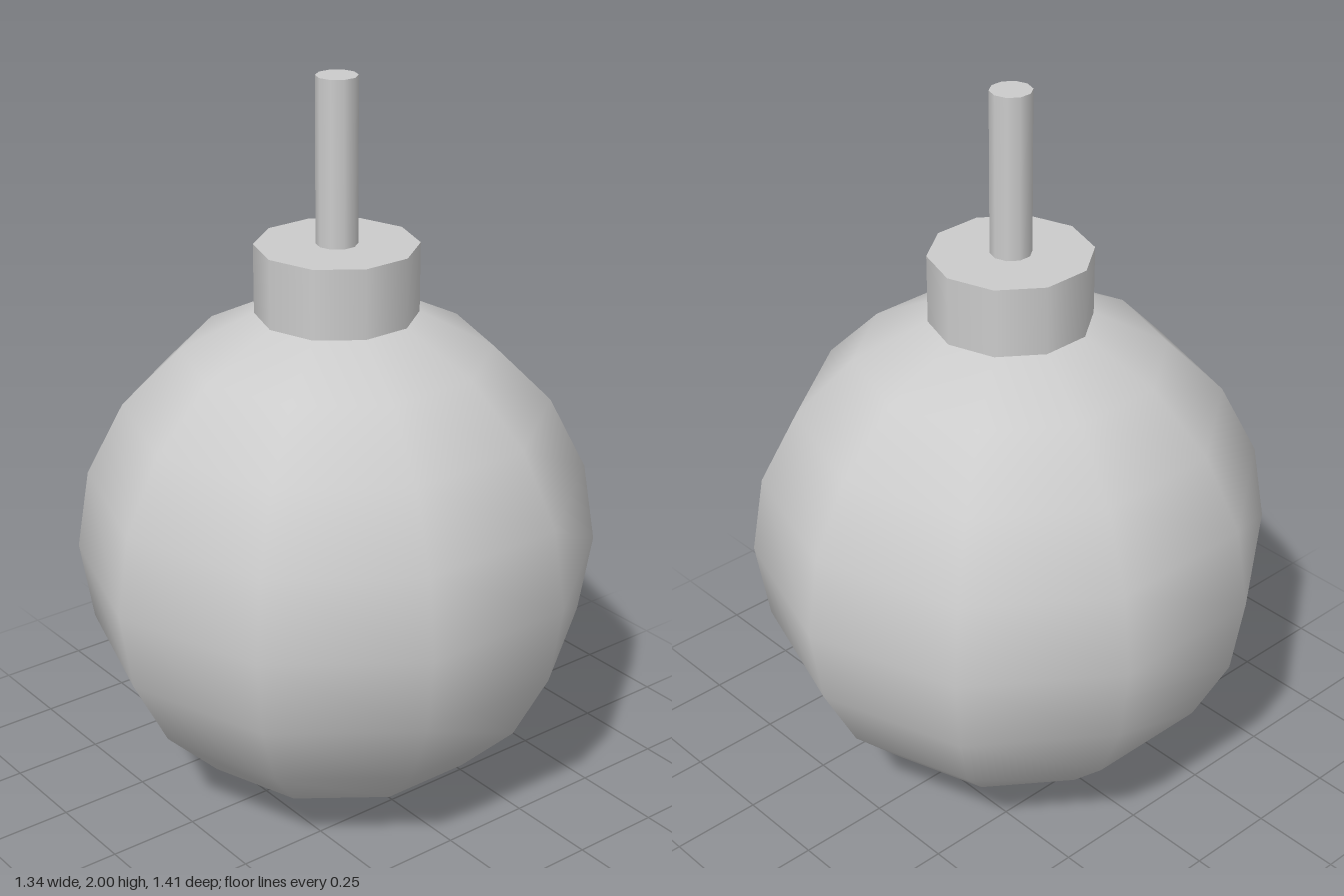
import * as THREE from 'three';

const SIDES = 10;
const RADIUS = 0.703;

export function createModel() {
  const group = new THREE.Group();
  const material = new THREE.MeshStandardMaterial({ color: 0xcccccc });

  const add = (name, geometry, y) => {
    const mesh = new THREE.Mesh(geometry, material);
    mesh.name = name;
    mesh.position.y = y;
    group.add(mesh);
  };
  // Upright ten-sided cylinder between two heights
  const addCylinder = (name, radius, bottom, top) =>
    add(name, new THREE.CylinderGeometry(radius, radius, top - bottom, SIDES), (bottom + top) / 2);

  // Round body, turned so that corners point to the front and back
  add('body', new THREE.SphereGeometry(RADIUS, SIDES, 10).rotateY(Math.PI / 2), RADIUS);

  // Collar sits on the body's top ring
  addCylinder('collar', 0.216, 1.37, 1.56);

  // Thin stem rising from the collar
  addCylinder('stem', 0.055, 1.56, 2);

  return group;
}
